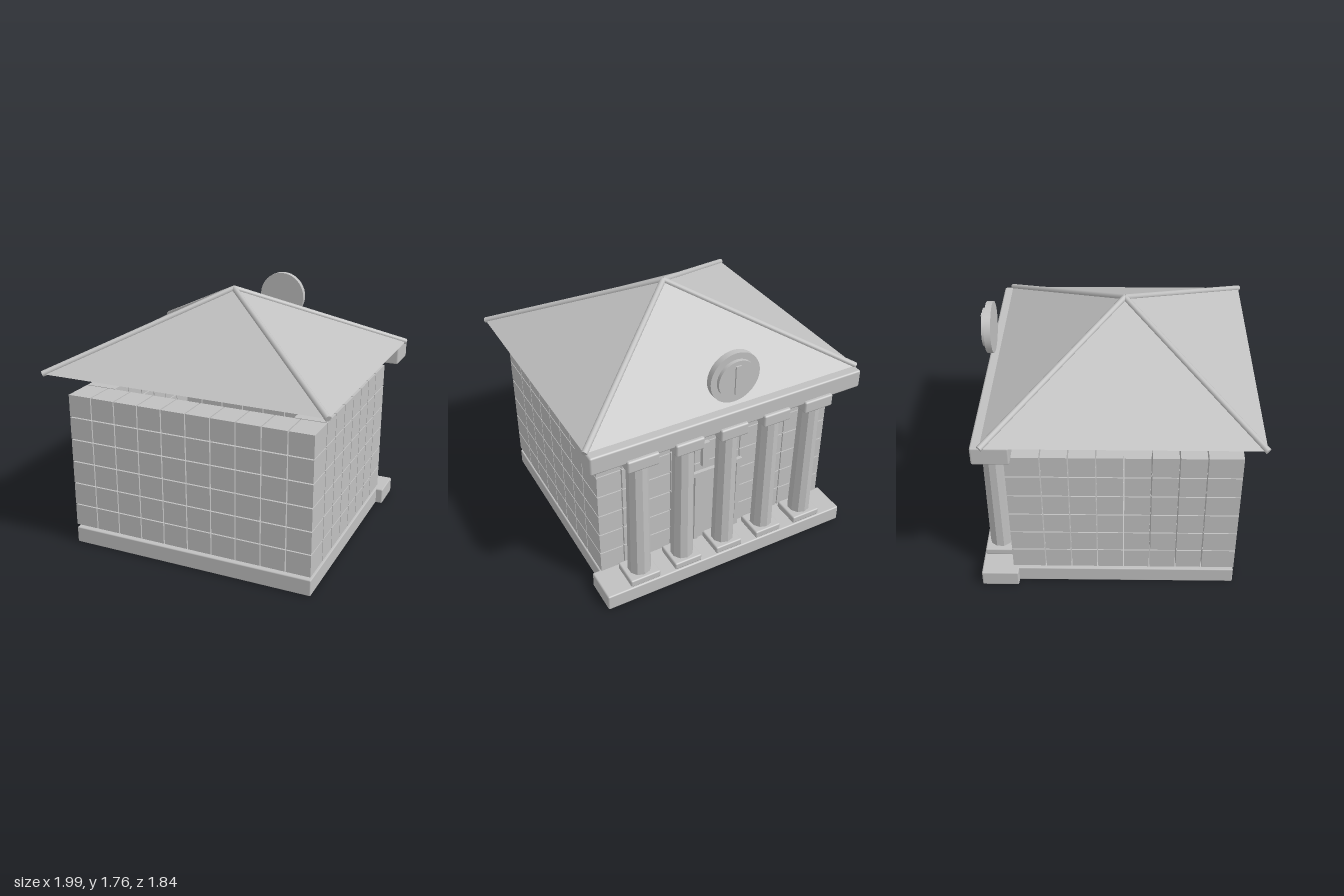
import * as THREE from 'three';
import { RoundedBoxGeometry } from 'three/addons/geometries/RoundedBoxGeometry.js';
import { ConvexGeometry } from 'three/addons/geometries/ConvexGeometry.js';

export function createModel() {
  const model = new THREE.Group();
  const stone = new THREE.MeshStandardMaterial({ color: 0xc0c0c0 });
  stone.name = 'stone grey';

  const add = (name, geometry, parent = model) => {
    const mesh = new THREE.Mesh(geometry, stone);
    mesh.name = name;
    parent.add(mesh);
    return mesh;
  };
  const group = (name) => {
    const g = new THREE.Group();
    g.name = name;
    model.add(g);
    return g;
  };
  // Box given by its extents; a radius softens the edges
  const box = (name, [x0, x1], [y0, y1], [z0, z1], radius = 0, parent = model) => {
    const size = [x1 - x0, y1 - y0, z1 - z0];
    const geometry = radius
      ? new RoundedBoxGeometry(...size, 1, radius)
      : new THREE.BoxGeometry(...size);
    add(name, geometry, parent).position.set((x0 + x1) / 2, (y0 + y1) / 2, (z0 + z1) / 2);
  };

  // Foundation and porch step
  box('foundation', [-0.868, 0.868], [0, 0.115], [-0.7, 0.79], 0.008);
  box('porchStep', [-0.917, 0.917], [0, 0.115], [-0.92, -0.67], 0.01);

  // Hollow walls of separate blocks, six courses high
  const walls = group('blockWalls');
  const gap = 0.004, rowHeight = 0.161, blockWidth = 0.1738, thickness = 0.222;
  for (let row = 0; row < 6; row++) {
    const y = [0.135 + row * rowHeight + gap, 0.135 + (row + 1) * rowHeight - gap];
    for (let i = 0; i < 10; i++) {
      const x = -0.869 + i * blockWidth;
      const span = [x + gap, x + blockWidth - gap];
      box('frontBlock', span, y, [0.79 - thickness + gap, 0.79], 0, walls);
      box('porchBlock', span, y, [-0.705, -0.705 + thickness - gap], 0, walls);
    }
    const sideWidth = (0.79 + 0.705 - 2 * thickness) / 6;
    for (let i = 0; i < 6; i++) {
      const z = -0.705 + thickness + i * sideWidth;
      const span = [z + gap, z + sideWidth - gap];
      box('leftBlock', [0.869 - thickness, 0.869 - gap], y, span, 0, walls);
      box('rightBlock', [-0.869 + gap, -0.869 + thickness], y, span, 0, walls);
    }
  }

  // Door with frame, lintel, upper bars and knob
  const door = group('door');
  box('doorPanel', [-0.145, 0.145], [0.13, 0.69], [-0.72, -0.7], 0, door);
  box('doorLintel', [-0.185, 0.185], [0.685, 0.715], [-0.73, -0.7], 0, door);
  for (const s of [-1, 1]) {
    box('doorJamb', [s * 0.16 - 0.015, s * 0.16 + 0.015], [0.13, 0.69], [-0.73, -0.7], 0, door);
    box('upperBar', [s * 0.1 - 0.025, s * 0.1 + 0.025], [0.76, 0.95], [-0.735, -0.7], 0, door);
  }
  add('doorKnob', new THREE.SphereGeometry(0.018, 12, 8), door).position.set(-0.1, 0.39, -0.73);

  // Colonnade
  for (const [x, half] of [[-0.637, 0.108], [-0.317, 0.1], [0, 0.1], [0.317, 0.1], [0.637, 0.108]]) {
    const column = group('column');
    const span = [x - half, x + half];
    box('columnFoot', span, [0.113, 0.165], [-0.91, -0.71], 0.01, column);
    box('capital', span, [1.07, 1.157], [-0.91, -0.71], 0.012, column);
    const shaft = new THREE.CylinderGeometry(0.07, 0.078, 0.92, 10).toNonIndexed();
    shaft.computeVertexNormals();
    add('shaft', shaft, column).position.set(x, 0.617, -0.81);
  }
  box('entablature', [-0.975, 0.975], [1.13, 1.258], [-0.887, -0.65], 0.012);

  // Pyramid roof with a pole along each hip
  const apex = new THREE.Vector3(0, 1.74, 0.04);
  const corners = [[-0.98, -0.825], [0.98, -0.825], [0.98, 0.905], [-0.98, 0.905]]
    .map(([x, z]) => new THREE.Vector3(x, 1.26, z));
  add('roof', new ConvexGeometry([apex, ...corners]));
  for (const corner of corners) {
    const along = apex.clone().sub(corner);
    const pole = add('hipPole', new THREE.CylinderGeometry(0.02, 0.02, along.length(), 10));
    pole.position.copy(corner).add(apex).multiplyScalar(0.5);
    pole.quaternion.setFromUnitVectors(new THREE.Vector3(0, 1, 0), along.normalize());
  }

  // Round medallion standing in front of the roof
  const medallion = group('medallion');
  const disc = (name, radius, z0, z1) => {
    const mesh = add(name, new THREE.CylinderGeometry(radius, radius, z1 - z0, 40), medallion);
    mesh.rotation.x = Math.PI / 2;
    mesh.position.set(0, 1.505, (z0 + z1) / 2);
  };
  disc('outerDisc', 0.173, -0.876, -0.833);
  disc('innerDisc', 0.13, -0.9, -0.87);
  box('centreBar', [-0.018, 0.018], [1.405, 1.605], [-0.911, -0.89], 0, medallion);

  return model;
}
